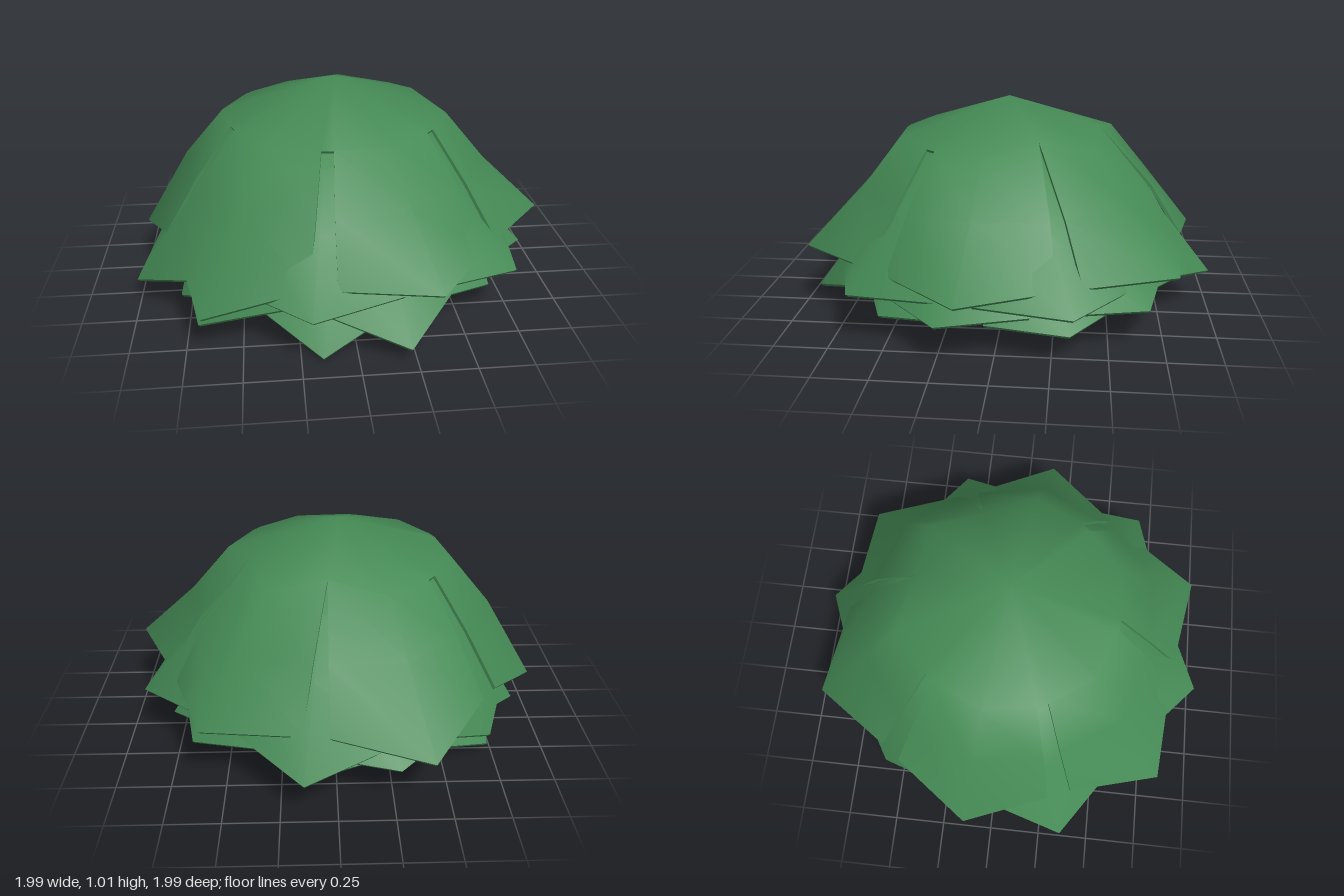
import * as THREE from 'three';
import { mergeGeometries, mergeVertices } from 'three/addons/utils/BufferGeometryUtils.js';

const rad = THREE.MathUtils.degToRad;

function fromTriangles(corners) {
  const geometry = new THREE.BufferGeometry();
  geometry.setAttribute('position', new THREE.Float32BufferAttribute(corners, 3));
  return geometry;
}

// One canopy layer: six pointed leaves joined at the apex, split by slits.
// The first three leaves droop; slits there have square heads, the others are pointed.
// Heights are measured from the hem of the layer.
function leafLayer(scale, hem, firstTip, secondTip) {
  const sheets = [];
  const walls = [];
  const point = (deg, r, y) => new THREE.Vector3(
    r * scale * Math.cos(rad(deg)), hem + y * scale, -r * scale * Math.sin(rad(deg)));
  const under = (p) => new THREE.Vector3(p.x * 0.987, p.y - 0.013, p.z * 0.987);
  const tri = (list, a, b, c) => [a, b, c].forEach((p) => list.push(p.x, p.y, p.z));
  // top and underside of the slab
  const slab = (a, b, c) => {
    tri(sheets, a, b, c);
    tri(sheets, under(a), under(c), under(b));
  };
  // thin wall along an outer edge
  const rim = (a, b) => {
    tri(walls, a, under(a), under(b));
    tri(walls, a, under(b), b);
  };
  const apex = point(0, 0, 0.675);

  // slit side: head, middle and bottom corner
  const slitSide = (deg, square, sign) => {
    const gaps = square ? [3, 3.3, 4] : [0, 2.8, 4];
    return [
      point(deg + sign * gaps[0], square ? 0.53 : 0.45, square ? 0.495 : 0.545),
      point(deg + sign * gaps[1], 0.71, 0.255),
      point(deg + sign * gaps[2], 0.87, 0),
    ];
  };

  const droops = [0.08, 0.13, 0.13, 0, 0, 0];
  const tips = [firstTip, secondTip, 1.05, 1.02, 1.03, 1.02];
  droops.forEach((droop, i) => {
    const mid = i * 60;
    const squareAfter = i < 4;
    const start = slitSide(mid - 30, i > 0 && i < 5, 1);
    const end = slitSide(mid + 30, squareAfter, -1);
    const centre = [point(mid, 0.55, 0.495), point(mid, 0.745, 0.265), point(mid, tips[i], -droop)];

    // two halves of the leaf
    [[start, centre], [centre, end]].forEach(([a, b]) => {
      slab(apex, a[0], b[0]);
      for (let k = 0; k < 2; k++) {
        slab(a[k], a[k + 1], b[k + 1]);
        slab(a[k], b[k + 1], b[k]);
      }
      rim(a[2], b[2]);
    });
    for (let k = 0; k < 2; k++) {
      rim(start[k], start[k + 1]);
      rim(end[k + 1], end[k]);
    }

    // bridge above a square slit head
    if (squareAfter) {
      const next = slitSide(mid + 30, true, 1);
      slab(apex, end[0], next[0]);
      rim(end[0], next[0]);
    }
  });

  // smooth leaf surfaces, sharp rims
  const smooth = mergeVertices(fromTriangles(sheets), 1e-5);
  smooth.computeVertexNormals();
  const sharp = fromTriangles(walls);
  sharp.computeVertexNormals();
  return mergeGeometries([smooth.toNonIndexed(), sharp]);
}

export function createModel() {
  const canopy = new THREE.Group();
  canopy.name = 'leafCanopy';
  const green = new THREE.MeshStandardMaterial({ color: 0x458a55 });

  // nested layers from top to bottom, each turned, lowered and smaller
  const layers = [
    { name: 'topLeaves', turn: 112, scale: 1.0, firstTip: 1.03, secondTip: 0.98 },
    { name: 'upperLeaves', turn: 80, scale: 0.985, firstTip: 1.03, secondTip: 0.92 },
    { name: 'lowerLeaves', turn: 165, scale: 0.93, firstTip: 0.97, secondTip: 1.02 },
    { name: 'bottomLeaves', turn: 142, scale: 0.855, firstTip: 1.03, secondTip: 0.98 },
  ];
  layers.forEach(({ name, turn, scale, firstTip, secondTip }, i) => {
    const mesh = new THREE.Mesh(leafLayer(scale, 0.335 - i * 0.07, firstTip, secondTip), green);
    mesh.name = name;
    mesh.rotation.y = rad(turn);
    mesh.position.x = -0.03;
    canopy.add(mesh);
  });
  return canopy;
}
